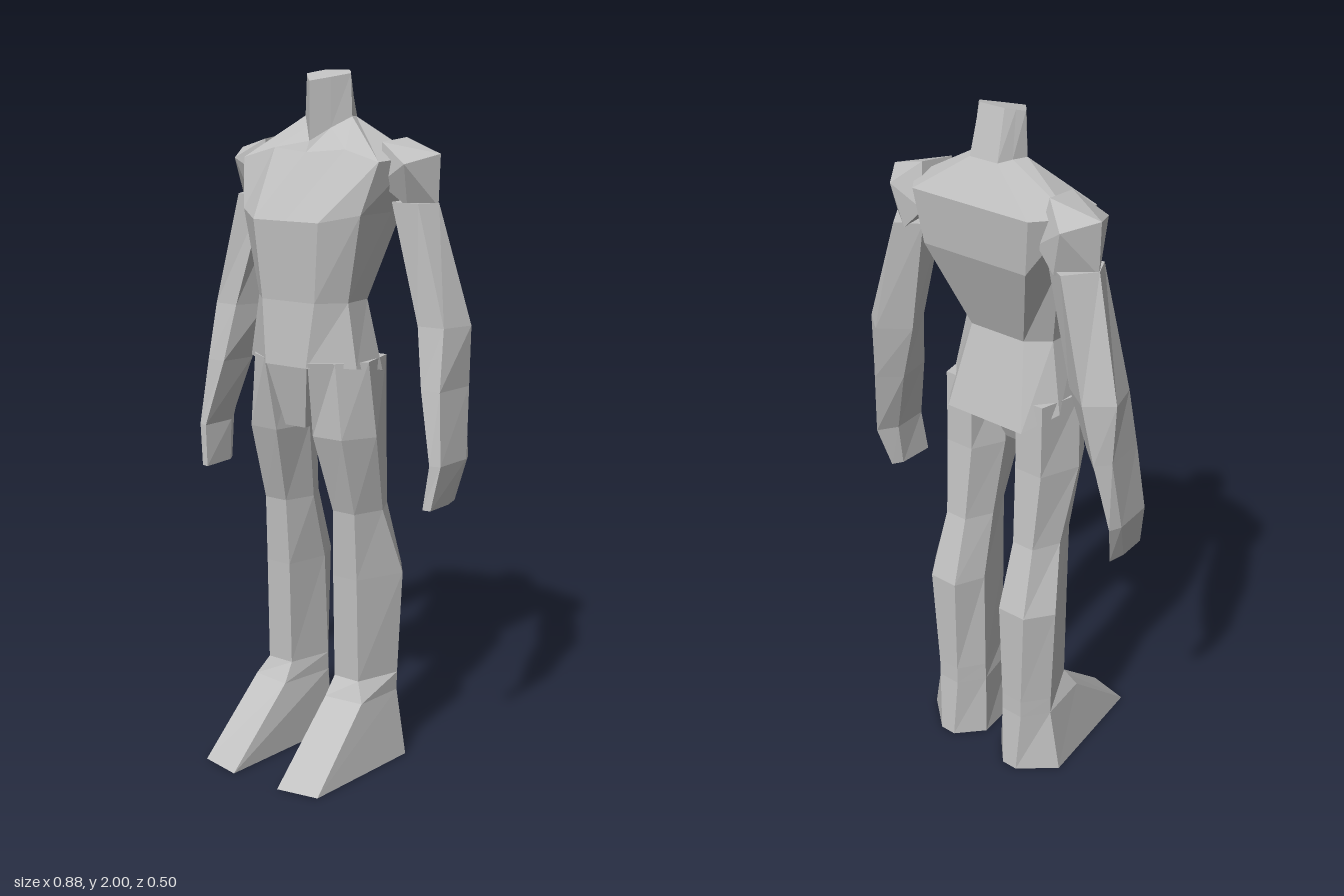
import * as THREE from 'three';
import { ConvexGeometry } from 'three/addons/geometries/ConvexGeometry.js';

// Closed skin over rings of [x, y, z] points, listed bottom to top, each running front -> +x -> back
function loft(rings) {
  const pos = [];
  const tri = (a, b, c) => pos.push(...a, ...b, ...c);
  const n = rings[0].length;
  for (let r = 0; r < rings.length - 1; r++) {
    const lo = rings[r], hi = rings[r + 1];
    for (let i = 0; i < n; i++) {
      const j = (i + 1) % n;
      tri(lo[i], lo[j], hi[j]);
      tri(lo[i], hi[j], hi[i]);
    }
  }
  const top = rings[rings.length - 1], bottom = rings[0];
  for (let i = 1; i < n - 1; i++) {
    tri(top[0], top[i], top[i + 1]);
    tri(bottom[0], bottom[i + 1], bottom[i]);
  }
  const g = new THREE.BufferGeometry();
  g.setAttribute('position', new THREE.Float32BufferAttribute(pos, 3));
  g.computeVertexNormals();
  return g;
}

const flip = ring => ring.map(([x, y, z]) => [-x, y, z]).reverse();
// Half ring from front centre to back centre, completed by mirroring
const whole = half => [...half, ...flip(half.slice(1, -1))];
// Level ring from [x, z] pairs
const level = (y, pts) => pts.map(([x, z]) => [x, y, z]);

export function createModel() {
  const model = new THREE.Group();
  const grey = new THREE.MeshStandardMaterial({ color: 0xc0c0c0, flatShading: true });
  grey.name = 'light grey';
  const add = (name, geometry) => {
    const mesh = new THREE.Mesh(geometry, grey);
    mesh.name = name;
    model.add(mesh);
  };

  // Torso: pelvis, waist, chest, shoulder line and neck base
  const neckBase = [[0, 1.81, -.01], [.04, 1.845, -.055], [.08, 1.875, -.1],
    [.065, 1.875, -.14], [.045, 1.87, -.175], [0, 1.87, -.175]];
  add('torso', loft([
    [[0, 1.2, .1], [.07, 1.2, .1], [.185, 1.2, .02], [.19, 1.18, -.1], [.13, 1.14, -.19], [0, 1.14, -.19]],
    level(1.38, [[0, .088], [.09, .088], [.155, .02], [.15, -.08], [.09, -.13], [0, -.13]]),
    [[0, 1.6, .1], [.11, 1.6, .1], [.2, 1.62, .03], [.2, 1.62, -.12], [.17, 1.62, -.22], [0, 1.62, -.22]],
    [[0, 1.78, .005], [.12, 1.79, -.01], [.23, 1.76, -.01], [.26, 1.77, -.15], [.19, 1.77, -.235], [0, 1.77, -.235]],
    neckBase,
  ].map(whole)));

  // Neck with a slanted top
  add('neck', loft([
    neckBase,
    [[0, 1.97, -.01], [.04, 1.98, -.055], [.075, 1.99, -.1], [.06, 1.995, -.12], [.04, 2, -.14], [0, 2, -.14]],
  ].map(whole)));

  // Tapering wedge between the thighs
  add('crotch', loft([
    level(1.02, [[0, .055], [.035, .055], [.03, -.06], [0, -.06]]),
    level(1.21, [[0, .098], [.072, .098], [.07, -.15], [0, -.15]]),
  ].map(whole)));

  // Leg rings: front inner, front outer, outer side, back outer, back inner, inner side
  const foot = [
    level(0, [[.08, .25], [.205, .225], [.25, -.16], [.15, -.245], [.1, -.245], [.03, -.17]]),
    level(.2, [[.075, .01], [.195, -.005], [.215, -.16], [.16, -.232], [.09, -.232], [.037, -.16]]),
    level(.255, [[.08, -.03], [.165, -.03], [.216, -.16], [.16, -.232], [.09, -.232], [.038, -.16]]),
  ];
  const leg = [
    foot[2],
    level(.57, [[.08, -.02], [.163, -.02], [.23, -.16], [.175, -.237], [.085, -.237], [.045, -.15]]),
    level(.77, [[.085, -.01], [.16, -.01], [.197, -.1], [.16, -.178], [.09, -.178], [.05, -.1]]),
    level(1, [[.065, .06], [.16, .055], [.213, -.04], [.17, -.155], [.08, -.155], [.035, -.06]]),
    level(1.215, [[.075, .099], [.14, .06], [.198, -.02], [.17, -.15], [.08, -.15], [.05, -.03]]),
  ];

  // Arm rings: front inner, front outer, outer side, back, inner side
  const hand = [
    level(.825, [[.387, -.01], [.41, -.015], [.415, -.1], [.405, -.15], [.387, -.12]]),
    level(.95, [[.4, -.02], [.43, -.03], [.44, -.15], [.425, -.185], [.39, -.13]]),
    level(1.15, [[.35, -.05], [.41, -.05], [.425, -.18], [.39, -.215], [.328, -.16]]),
  ];
  const arm = [
    hand[2],
    level(1.32, [[.32, -.075], [.4, -.08], [.43, -.175], [.36, -.23], [.275, -.17]]),
    level(1.65, [[.22, -.09], [.31, -.08], [.34, -.14], [.28, -.22], [.21, -.18]]),
  ];

  // Angular shoulder cap
  const shoulder = [[.2, 1.81, -.07], [.21, 1.82, -.175], [.342, 1.78, -.14], [.29, 1.755, -.04],
    [.28, 1.76, -.225], [.338, 1.64, -.14], [.27, 1.64, -.09], [.25, 1.64, -.21], [.2, 1.7, -.06], [.19, 1.7, -.2]];

  for (const [side, mirrored] of [['left', false], ['right', true]]) {
    const place = mirrored ? flip : ring => ring;
    for (const [part, rings] of Object.entries({ Foot: foot, Leg: leg, Hand: hand, Arm: arm })) {
      add(side + part, loft(rings.map(place)));
    }
    add(side + 'Shoulder', new ConvexGeometry(place(shoulder).map(p => new THREE.Vector3(...p))));
  }
  return model;
}
